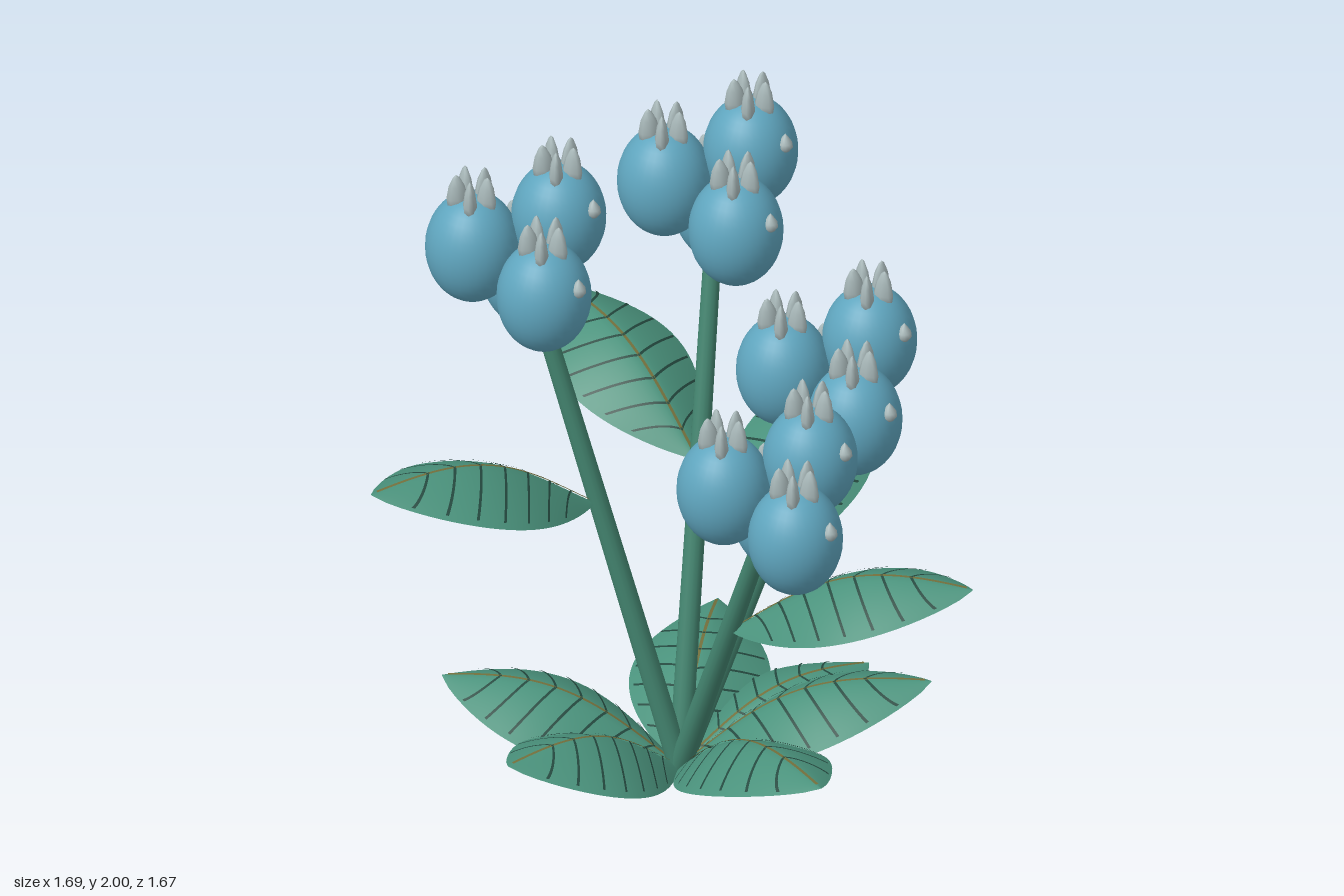
import * as THREE from 'three';
import { mergeGeometries } from 'three/addons/utils/BufferGeometryUtils.js';

const material = (name, color, side = THREE.FrontSide) => {
  const m = new THREE.MeshStandardMaterial({ color, side });
  m.name = name;
  return m;
};

// Surface patch from a rule f(a, b) with a and b in 0..1
function patch(f, na, nb) {
  const pos = [], index = [];
  for (let i = 0; i <= na; i++) {
    for (let j = 0; j <= nb; j++) {
      pos.push(...f(i / na, j / nb).toArray());
      if (i < na && j < nb) {
        const p = i * (nb + 1) + j, q = p + nb + 1;
        index.push(p, q, q + 1, p, q + 1, p + 1);
      }
    }
  }
  const g = new THREE.BufferGeometry();
  g.setAttribute('position', new THREE.Float32BufferAttribute(pos, 3));
  g.setIndex(index);
  g.computeVertexNormals();
  return g;
}

const lathe = (points, sides) =>
  new THREE.LatheGeometry(points.map(([r, y]) => new THREE.Vector2(r, y)), sides);

export function createModel() {
  const stemGreen = material('stemGreen', 0x43846f);
  const leafGreen = material('leafGreen', 0x4a927c, THREE.DoubleSide);
  const veinDark = material('veinDark', 0x24493f, THREE.DoubleSide);
  const ribOlive = material('ribOlive', 0x736f3c, THREE.DoubleSide);
  const berryBlue = material('berryBlue', 0x5fa5be);
  const silver = material('silver', 0xa9b9ba);

  const model = new THREE.Group();
  model.name = 'berryPlant';
  const add = (parent, name, geometry, mat) => {
    const mesh = new THREE.Mesh(geometry, mat);
    mesh.name = name;
    parent.add(mesh);
    return mesh;
  };

  // Arched leaf with drooping sides, a midrib and side veins
  function addLeaf(name, base, tip) {
    const group = new THREE.Group();
    group.name = name;
    const dir = tip.clone().sub(base);
    const len = dir.length();
    dir.normalize();
    const side = new THREE.Vector3(0, 1, 0).cross(dir).normalize();
    const up = dir.clone().cross(side);
    const halfWidth = t => 0.2 * Math.pow(Math.max(0, Math.sin(Math.PI * Math.pow(t, 1.08))), 0.85) + 0.002;
    const point = (t, u, lift = 0) => {
      const w = halfWidth(t);
      const h = 0.135 * len * Math.sin(Math.PI * Math.pow(t, 1.1)) - 0.48 * w * Math.pow(Math.abs(u), 1.4) + lift;
      return base.clone().addScaledVector(dir, t * len).addScaledVector(side, u * w).addScaledVector(up, h);
    };
    add(group, 'blade', patch((a, b) => point(a, b * 2 - 1), 24, 16), leafGreen);
    add(group, 'midrib', patch((a, b) => {
      const t = 0.02 + 0.96 * a;
      return point(t, (b - 0.5) * 0.009 / halfWidth(t), 0.005);
    }, 24, 1), ribOlive);
    const veins = [];
    for (let i = 0; i < 7; i++) {
      for (const s of [-1, 1]) {
        veins.push(patch((a, b) =>
          point(0.12 + i * 0.11 + 0.1 * a + (b - 0.5) * 0.011, s * 0.93 * a, 0.005), 8, 1));
      }
    }
    add(group, 'sideVeins', mergeGeometries(veins), veinDark);
    model.add(group);
  }

  // Rosette of low leaves set at the golden angle: [reach, tip height]
  const root = new THREE.Vector3(0.06, 0.015, 0.09);
  [[0.72, 0.34], [0.62, 0.26], [0.65, 0.17], [0.74, 0.34], [0.7, 0.21], [0.61, 0.18]].forEach(([reach, y], i) => {
    const angle = THREE.MathUtils.degToRad(32 + i * 137.5);
    const tip = new THREE.Vector3(root.x + reach * Math.cos(angle), y, root.z + reach * Math.sin(angle));
    addLeaf('rosetteLeaf', root, tip);
  });

  // Shared berry parts
  const berryGeo = new THREE.SphereGeometry(1, 32, 20).scale(0.136, 0.17, 0.136);
  const sepalGeo = lathe([[0.001, 0], [0.023, 0.01], [0.027, 0.045], [0.02, 0.085], [0.009, 0.112], [0, 0.122]], 8);
  const crownGeo = mergeGeometries(Array.from({ length: 5 }, (_, i) =>
    sepalGeo.clone().scale(1.15, 1, 0.75).rotateZ(-0.04).translate(0.043, 0.123, 0).rotateY(i * Math.PI * 0.4 + 0.3)));
  const dropGeo = lathe([[0, -0.024], [0.013, -0.021], [0.022, -0.008], [0.02, 0.006], [0.01, 0.022], [0, 0.036]], 14);

  function addBerry(parent, x, y, z, hasDrop) {
    const berry = new THREE.Group();
    berry.name = 'berry';
    berry.position.set(x, y, z);
    add(berry, 'fruit', berryGeo, berryBlue);
    add(berry, 'crown', crownGeo, silver);
    if (hasDrop) add(berry, 'dewDrop', dropGeo, silver).position.set(0.053, 0.068, 0.112);
    parent.add(berry);
  }

  // Stalks: cluster centre, leaf base and leaf tip
  const stalks = [
    [[-0.26, 1.63, -0.255], [-0.12, 0.86, -0.09], [-0.845, 1.11, -0.075]],
    [[0.385, 1.63, -0.31], [0.23, 0.88, -0.13], [0.136, 1.11, -0.835]],
    [[0.13, 1.15, 0.55], [0.09, 0.61, 0.34], [0.625, 0.86, 0.815]],
    [[0.57, 1.15, 0.07], [0.335, 0.61, 0.09], [0.84, 0.87, -0.42]],
  ];
  for (const [centre, leafBase, leafTip] of stalks) {
    const top = new THREE.Vector3(...centre);
    const axis = top.clone().sub(root);
    const stem = add(model, 'stem', new THREE.CylinderGeometry(0.025, 0.033, axis.length(), 14), stemGreen);
    stem.position.copy(root).addScaledVector(axis, 0.5);
    stem.quaternion.setFromUnitVectors(new THREE.Vector3(0, 1, 0), axis.normalize());

    const cluster = new THREE.Group();
    cluster.name = 'berryCluster';
    cluster.position.copy(top);
    addBerry(cluster, -0.125, 0.04, -0.08, false);
    addBerry(cluster, 0.105, 0.125, 0.01, true);
    addBerry(cluster, -0.015, -0.03, 0.15, true);
    addBerry(cluster, 0.06, -0.105, -0.09, false);
    model.add(cluster);

    addLeaf('stemLeaf', new THREE.Vector3(...leafBase), new THREE.Vector3(...leafTip));
  }
  return model;
}
